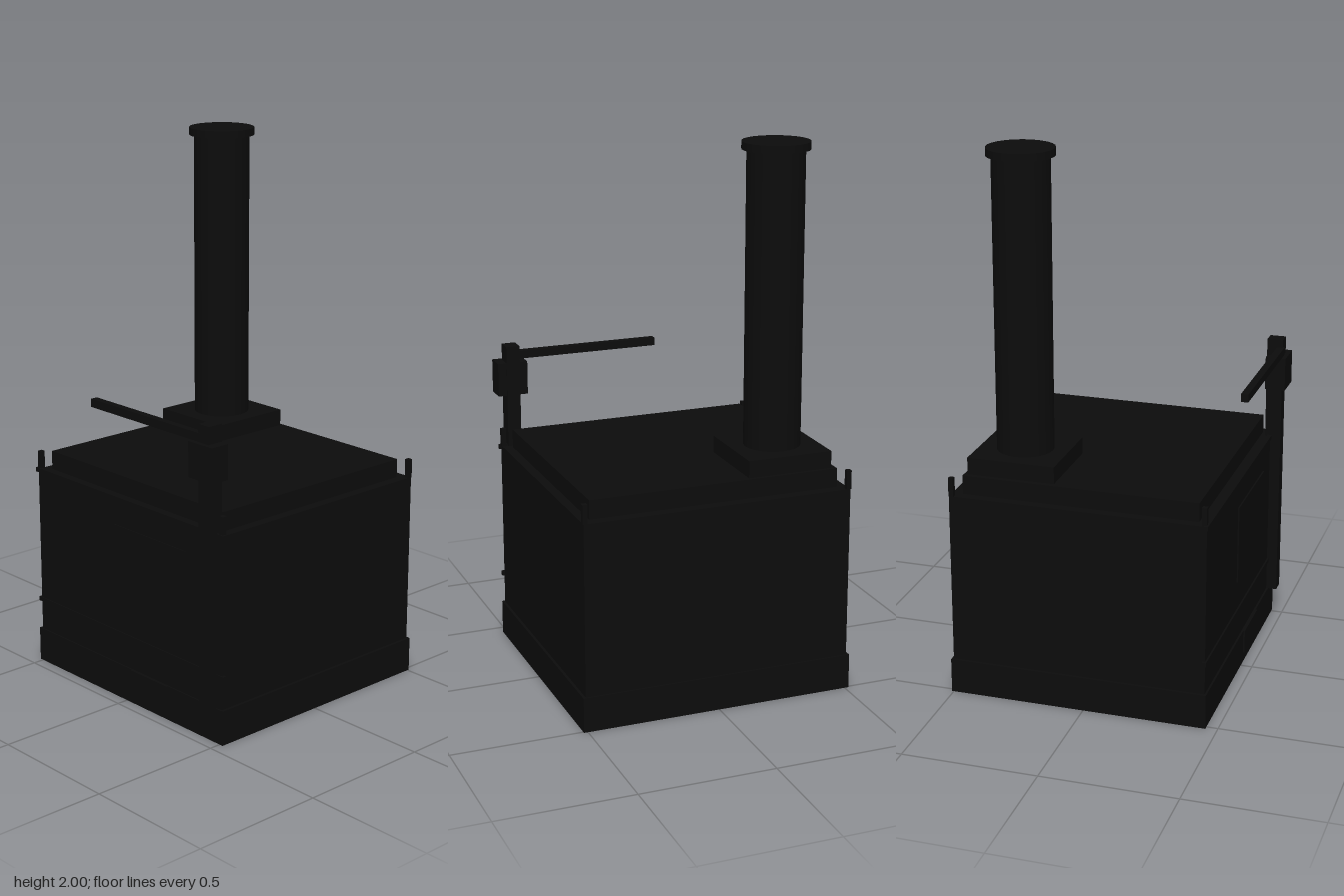
import * as THREE from 'three';

export function createModel() {
  const root = new THREE.Group();
  const iron = new THREE.MeshStandardMaterial({ color: 0x0c0c0c });
  iron.name = 'black iron';

  const add = (name, geometry) => {
    const mesh = new THREE.Mesh(geometry, iron);
    mesh.name = name;
    root.add(mesh);
    return mesh;
  };
  // Box given by its extents on each axis
  const box = (name, x0, x1, y0, y1, z0, z1) =>
    add(name, new THREE.BoxGeometry(x1 - x0, y1 - y0, z1 - z0))
      .position.set((x0 + x1) / 2, (y0 + y1) / 2, (z0 + z1) / 2);

  // Body, top slab and skirt open underneath
  box('body', -0.505, 0.505, 0.125, 0.77, -0.5, 0.45);
  box('topSlab', -0.47, 0.47, 0.77, 0.84, -0.46, 0.413);
  const t = 0.012;
  box('skirtFront', -0.515, 0.515, 0, 0.13, 0.457 - t, 0.457);
  box('skirtBack', -0.515, 0.515, 0, 0.13, -0.507, -0.507 + t);
  for (const s of [-1, 1]) {
    const x = s * (0.515 - t / 2);
    box('skirtSide', x - t / 2, x + t / 2, 0, 0.13, -0.507 + t, 0.457 - t);
  }
  box('cornerBlock', -0.503, -0.31, 0.05, 0.125, 0.26, 0.445);

  // Corner rods standing above the body
  for (const x of [-0.499, 0.499])
    for (const z of [-0.491, 0.441])
      box('cornerRod', x - 0.009, x + 0.009, 0.77, 0.84, z - 0.009, z + 0.009);

  // Front details: bands, door and ash drawer
  for (const y of [0.25, 0.767])
    box('frontBand', -0.515, 0.515, y - 0.008, y + 0.008, 0.44, 0.456);
  box('door', -0.063, 0.32, 0.37, 0.667, 0.448, 0.455);
  box('ashDrawer', 0.03, 0.225, 0.04, 0.13, 0.455, 0.463);

  // Chimney
  const cx = -0.292, cz = -0.284;
  box('chimneyBase', -0.452, -0.132, 0.84, 0.903, -0.447, -0.122);
  add('chimneyPipe', new THREE.CylinderGeometry(0.104, 0.104, 1.08, 24)).position.set(cx, 1.44, cz);
  add('chimneyCap', new THREE.CylinderGeometry(0.122, 0.122, 0.028, 24)).position.set(cx, 1.986, cz);

  // Post with its block and horizontal arm
  box('post', 0.43, 0.482, 0.13, 1.16, 0.43, 0.49);
  box('postBlock', 0.4, 0.515, 0.97, 1.097, 0.432, 0.508);
  box('arm', -0.13, 0.44, 1.1, 1.13, 0.468, 0.495);

  return root;
}
